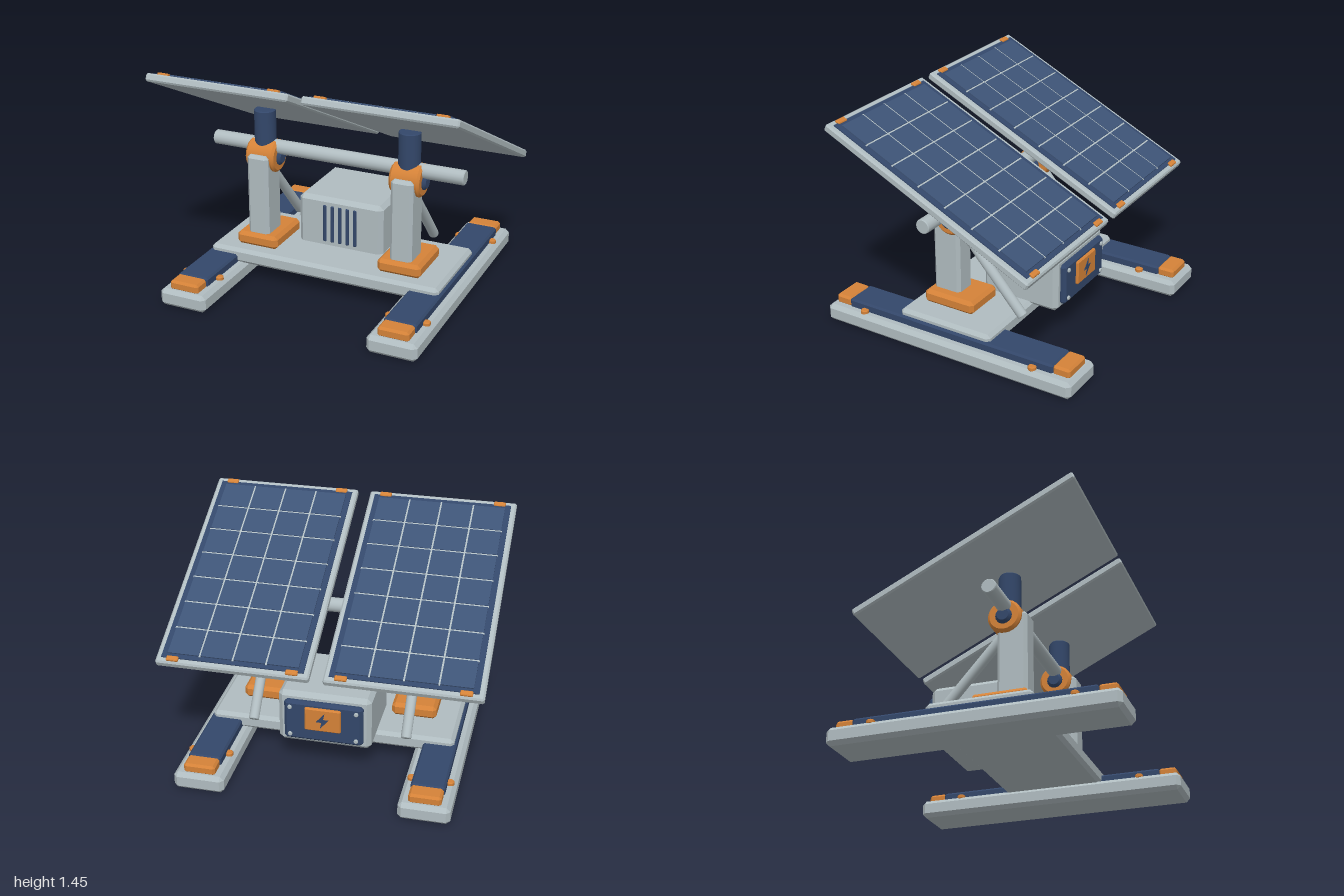
import * as THREE from 'three';
import { toCreasedNormals } from 'three/addons/utils/BufferGeometryUtils.js';
import { ConvexGeometry } from 'three/addons/geometries/ConvexGeometry.js';

const paint = (name, color) => Object.assign(new THREE.MeshStandardMaterial({ color }), { name });
const grey = paint('light grey metal', 0xb0bcc0);
const orange = paint('safety orange', 0xd48238);
const navy = paint('navy', 0x33476a);
const cellBlue = paint('solar cell blue', 0x3d5376);

// Box with all edges cut at 45 degrees
function chamferBox(w, h, d, c) {
  const pts = [];
  for (const sx of [-1, 1]) for (const sy of [-1, 1]) for (const sz of [-1, 1]) {
    const x = sx * w / 2, y = sy * h / 2, z = sz * d / 2;
    pts.push(
      new THREE.Vector3(x, y - sy * c, z - sz * c),
      new THREE.Vector3(x - sx * c, y, z - sz * c),
      new THREE.Vector3(x - sx * c, y - sy * c, z));
  }
  return new ConvexGeometry(pts);
}

// Cylinder along y with chamfered rims
function chamferCylinder(r, len, c, sides = 24) {
  const h = len / 2;
  const profile = [[0, -h], [r - c, -h], [r, -h + c], [r, h - c], [r - c, h], [0, h]]
    .map(([x, y]) => new THREE.Vector2(x, y));
  return toCreasedNormals(new THREE.LatheGeometry(profile, sides), 0.6);
}

function add(parent, name, geometry, material, x = 0, y = 0, z = 0) {
  const mesh = new THREE.Mesh(geometry, material);
  mesh.name = name;
  mesh.position.set(x, y, z);
  parent.add(mesh);
  return mesh;
}

// Skid with its navy tread, end caps and small fixing knobs
function makeSkid(side) {
  const g = new THREE.Group();
  g.name = 'skid';
  g.position.x = side * 0.7;
  add(g, 'skidRail', chamferBox(0.32, 0.115, 1.775, 0.025), grey, 0, 0.0575, 0);
  add(g, 'skidTread', chamferBox(0.21, 0.065, 1.49, 0.012), navy, 0, 0.1375, 0);
  for (const end of [-1, 1]) {
    add(g, 'skidEndCap', chamferBox(0.2, 0.065, 0.115, 0.014), orange, 0, 0.1375, end * 0.797);
    for (const s of [-1, 1])
      add(g, 'skidKnob', chamferCylinder(0.026, 0.03, 0.006, 12), orange, s * 0.118, 0.122, end * 0.615);
  }
  return g;
}

// Upright with foot, pivot collar, panel strut and rear brace
function makeSupport(side) {
  const g = new THREE.Group();
  g.name = 'support';
  g.position.x = side * 0.495;
  add(g, 'supportFoot', chamferBox(0.29, 0.09, 0.36, 0.022), orange, 0, 0.252, 0.1);
  add(g, 'supportPost', chamferBox(0.148, 0.56, 0.19, 0.02), grey, 0, 0.55, 0.155);
  add(g, 'pivotCollar', chamferCylinder(0.107, 0.2, 0.015), orange, 0, 0.803, 0.115).rotation.z = Math.PI / 2;
  add(g, 'pivotAxle', chamferCylinder(0.052, 0.245, 0.015, 16), navy, 0, 0.797, 0.115).rotation.z = Math.PI / 2;
  add(g, 'panelStrut', chamferCylinder(0.07, 0.27, 0.006), navy, 0, 0.975, 0.117);
  const top = new THREE.Vector3(0, 0.75, 0.11), bottom = new THREE.Vector3(0, 0.228, -0.355);
  const dir = top.clone().sub(bottom);
  const brace = add(g, 'rearBrace', chamferCylinder(0.033, dir.length(), 0.004, 16), grey);
  brace.position.copy(top).add(bottom).multiplyScalar(0.5);
  brace.quaternion.setFromUnitVectors(new THREE.Vector3(0, 1, 0), dir.normalize());
  return g;
}

// Tilted solar panel: frame, backing, cells, grid lines and clips
function makePanel(side) {
  const g = new THREE.Group();
  g.name = 'solarPanel';
  g.position.set(side * 0.521, 1.09, 0);
  g.rotation.x = -0.45;
  add(g, 'panelFrame', chamferBox(0.957, 0.05, 1.522, 0.01), grey);
  add(g, 'panelBacking', new THREE.BoxGeometry(0.89, 0.009, 1.45), navy, 0, 0.0265, 0);
  const cols = 4, rows = 7, cw = 0.2075, cl = 0.2;
  const cell = new THREE.BoxGeometry(cw - 0.011, 0.009, cl - 0.011);
  for (let i = 0; i < cols; i++) for (let j = 0; j < rows; j++)
    add(g, 'solarCell', cell, cellBlue, (i - (cols - 1) / 2) * cw, 0.0345, (j - (rows - 1) / 2) * cl);
  for (let i = 1; i < cols; i++)
    add(g, 'gridLineLong', new THREE.BoxGeometry(0.011, 0.006, rows * cl), grey, (i - cols / 2) * cw, 0.033, 0);
  for (let j = 1; j < rows; j++)
    add(g, 'gridLineCross', new THREE.BoxGeometry(cols * cw, 0.0055, 0.011), grey, 0, 0.033, (j - rows / 2) * cl);
  for (const sx of [-1, 1]) for (const sz of [-1, 1])
    add(g, 'panelClip', chamferBox(0.075, 0.03, 0.035, 0.005), orange, sx * 0.372, 0.024, sz * 0.73);
  return g;
}

// Equipment box with front vents and a rear service hatch
function makeEquipmentBox() {
  const g = new THREE.Group();
  g.name = 'equipmentBox';
  add(g, 'housing', chamferBox(0.59, 0.36, 0.535, 0.028), grey, 0, 0.36, -0.2075);
  for (let i = -2; i <= 2; i++)
    add(g, 'ventSlot', chamferBox(0.024, 0.255, 0.018, 0.005), navy, i * 0.053, 0.362, 0.06);
  add(g, 'rearHatch', chamferBox(0.5, 0.275, 0.05, 0.018), navy, 0, 0.36, -0.485);
  add(g, 'hatchPlate', chamferBox(0.23, 0.16, 0.03, 0.008), orange, 0, 0.39, -0.512);
  for (const sx of [-1, 1]) for (const sy of [-1, 1])
    add(g, 'hatchScrew', chamferCylinder(0.014, 0.02, 0.004, 12), grey, sx * 0.21, 0.36 + sy * 0.097, -0.512)
      .rotation.x = Math.PI / 2;
  // Electrical hazard mark
  const mark = new THREE.Shape([[0.015, 0.055], [-0.04, -0.01], [-0.005, -0.01], [-0.015, -0.055], [0.04, 0.01], [0.005, 0.01]]
    .map(([x, y]) => new THREE.Vector2(x, y)));
  add(g, 'hazardMark', new THREE.ExtrudeGeometry(mark, { depth: 0.005, bevelEnabled: false }), navy, 0, 0.39, -0.526)
    .rotation.y = Math.PI;
  return g;
}

export function createModel() {
  const model = new THREE.Group();
  model.name = 'solarArray';
  add(model, 'deck', chamferBox(1.58, 0.1, 0.655, 0.022), grey, 0, 0.16, 0.0325);
  add(model, 'crossTube', chamferCylinder(0.047, 1.715, 0.005, 16), grey, 0, 0.866, 0.115).rotation.z = Math.PI / 2;
  for (const side of [-1, 1]) model.add(makeSkid(side), makeSupport(side), makePanel(side));
  model.add(makeEquipmentBox());
  return model;
}
